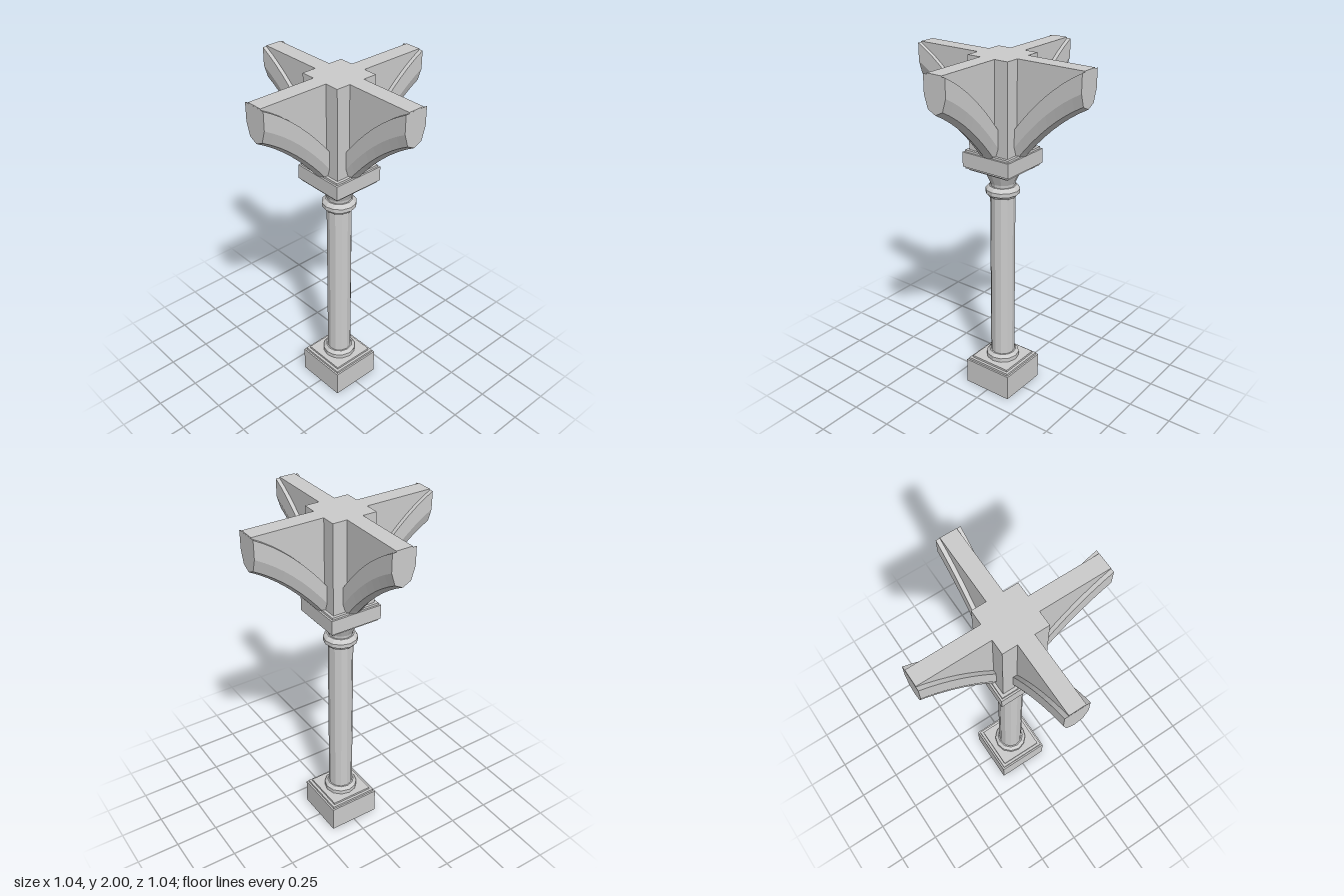
import * as THREE from 'three';

const material = new THREE.MeshStandardMaterial({ color: 0xcccccc, flatShading: true });

function add(parent, name, geometry) {
  const mesh = new THREE.Mesh(geometry, material);
  mesh.name = name;
  parent.add(mesh);
  return mesh;
}

// Square slab given by half width and its bottom and top heights
function slab(parent, name, half, y0, y1) {
  add(parent, name, new THREE.BoxGeometry(half * 2, y1 - y0, half * 2)).position.y = (y0 + y1) / 2;
}

// Twelve-sided turned part from [radius, height] pairs
function turned(parent, name, profile) {
  const points = profile.map(([r, y]) => new THREE.Vector2(r, y));
  add(parent, name, new THREE.LatheGeometry(points, 12));
}

// Upper edge of the arched rib, from the central block out to the tip
const arch = new THREE.QuadraticBezierCurve(
  new THREE.Vector2(0.12, 1.63), new THREE.Vector2(0.315, 1.885), new THREE.Vector2(0.522, 1.995)
).getPoints(8);

// Chamfered rib section swept along the arch: [z, drop below the arch]
function ribGeometry() {
  const section = [[0.068, 0], [0.068, 0.1], [0.046, 0.17], [0, 0.193], [-0.046, 0.17], [-0.068, 0.1], [-0.068, 0]];
  const n = section.length;
  const positions = [], index = [];
  for (const p of arch) for (const [z, drop] of section) positions.push(p.x, p.y - drop, z);
  for (let i = 0; i < arch.length - 1; i++) {
    for (let j = 0; j < n; j++) {
      const a = i * n + j, b = i * n + (j + 1) % n;
      index.push(a, b, b + n, a, b + n, a + n);
    }
  }
  const last = (arch.length - 1) * n;
  for (let j = 1; j < n - 1; j++) {
    index.push(0, j + 1, j);
    index.push(last, last + j, last + j + 1);
  }
  const geometry = new THREE.BufferGeometry();
  geometry.setAttribute('position', new THREE.Float32BufferAttribute(positions, 3));
  geometry.setIndex(index);
  const flat = geometry.toNonIndexed();
  flat.computeVertexNormals();
  return flat;
}

// Narrower wall filling the space between the rib and the flat top
function webGeometry() {
  const shape = new THREE.Shape();
  shape.moveTo(0.12, 2);
  for (const p of arch) shape.lineTo(p.x - 0.001, p.y - 0.02);
  shape.lineTo(0.521, 2);
  const geometry = new THREE.ExtrudeGeometry(shape, { depth: 0.092, bevelEnabled: false });
  return geometry.translate(0, 0, -0.046);
}

export function createModel() {
  const model = new THREE.Group();
  model.name = 'archedColumn';

  // Stepped square plinth
  slab(model, 'plinth', 0.153, 0, 0.155);
  slab(model, 'plinthLowerStep', 0.143, 0.155, 0.168);
  slab(model, 'plinthUpperStep', 0.127, 0.168, 0.18);

  // Round base, shaft, neck ring and flared capital
  turned(model, 'columnBase', [[0, 0.18], [0.097, 0.18], [0.097, 0.205], [0.085, 0.215], [0.078, 0.222], [0, 0.222]]);
  turned(model, 'shaft', [[0.07, 0.2], [0.07, 1.25]]);
  turned(model, 'neckRing', [[0, 1.222], [0.08, 1.222], [0.085, 1.232], [0.096, 1.24], [0.096, 1.263],
    [0.085, 1.275], [0.075, 1.283], [0, 1.283]]);
  turned(model, 'capital', [[0.066, 1.27], [0.07, 1.3], [0.107, 1.38], [0, 1.38]]);

  // Stepped square cap
  slab(model, 'capLowerStep', 0.127, 1.375, 1.386);
  slab(model, 'capMiddleStep', 0.143, 1.386, 1.398);
  slab(model, 'cap', 0.153, 1.398, 1.48);
  slab(model, 'capUpperStep', 0.143, 1.48, 1.492);

  // Central block that carries the arms
  slab(model, 'centralBlock', 0.127, 1.49, 2);

  // Four arched arms
  const rib = ribGeometry();
  const web = webGeometry();
  ['leftArm', 'backArm', 'rightArm', 'frontArm'].forEach((name, i) => {
    const arm = new THREE.Group();
    arm.name = name;
    add(arm, 'rib', rib);
    add(arm, 'web', web);
    arm.rotation.y = i * Math.PI / 2;
    model.add(arm);
  });

  return model;
}
